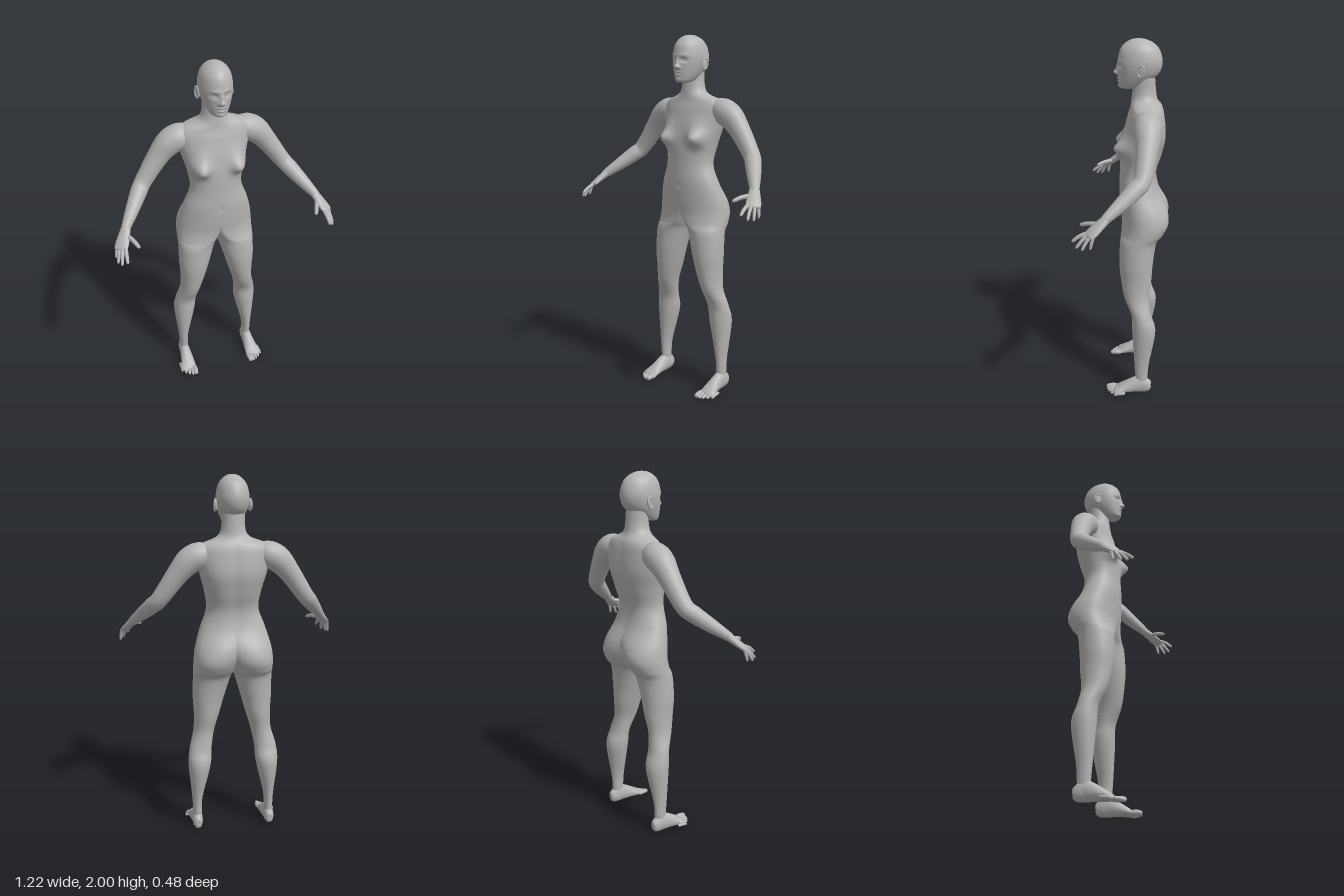
import * as THREE from 'three';
import { mergeGeometries, mergeVertices } from 'three/addons/utils/BufferGeometryUtils.js';

const skin = new THREE.MeshStandardMaterial({ color: 0xb4b4b4 });
skin.name = 'plain grey';

// Catmull-Rom interpolation of rows of numbers, k steps between neighbours
function smoothRows(rows, k) {
  const out = [], last = rows.length - 1;
  const at = (i) => rows[Math.min(last, Math.max(0, i))];
  for (let s = 0; s <= last * k; s++) {
    const i = Math.min(last - 1, Math.floor(s / k)), t = s / k - i;
    const [a, b, c, d] = [at(i - 1), at(i), at(i + 1), at(i + 2)];
    out.push(b.map((p, j) => p + 0.5 * t * (c[j] - a[j] +
      t * (2 * a[j] - 5 * p + 4 * c[j] - d[j] + t * (3 * (p - c[j]) + d[j] - a[j])))));
  }
  return out;
}

// Skin closed rings of points; faces lying in the plane x = 0 can be left out
function skinRings(rings, dropMiddle = false) {
  const n = rings[0].length, pts = rings.flat(), index = [];
  const tri = (...f) => {
    if (!dropMiddle || f.some((v) => pts[v].x > 0)) index.push(...f);
  };
  for (let i = 0; i < rings.length - 1; i++) {
    for (let j = 0; j < n; j++) {
      const a = i * n + j, b = i * n + (j + 1) % n;
      tri(a, b, a + n);
      tri(b, b + n, a + n);
    }
  }
  const g = new THREE.BufferGeometry().setFromPoints(pts);
  g.setIndex(index);
  g.computeVertexNormals();
  return g;
}

function mirrored(geometry) {
  const g = geometry.clone().scale(-1, 1, 1), ix = g.index.array;
  for (let i = 0; i < ix.length; i += 3) [ix[i], ix[i + 1]] = [ix[i + 1], ix[i]];
  g.computeVertexNormals();
  return g;
}

// Limb along rows [x, y, z, radius across ref, radius along ref]
function limb(rows, ref, k = 7, n = 28) {
  const path = smoothRows(rows, k);
  const centre = path.map((r) => new THREE.Vector3(r[0], r[1], r[2]));
  const rings = path.map((r, i) => {
    const T = centre[Math.min(i + 1, path.length - 1)].clone().sub(centre[Math.max(i - 1, 0)]).normalize();
    const B = new THREE.Vector3(...ref);
    B.addScaledVector(T, -B.dot(T)).normalize();
    const A = B.clone().cross(T);
    return Array.from({ length: n }, (_, j) => {
      const t = j / n * Math.PI * 2;
      return centre[i].clone().addScaledVector(A, Math.cos(t) * Math.max(0, r[3]))
        .addScaledVector(B, Math.sin(t) * Math.max(0, r[4]));
    });
  });
  return skinRings(rings);
}

// Finger or toe with a rounded tip
function digit(base, tip, r, bend, ref) {
  const at = (t, s, b) => [...base.map((p, i) => p + (tip[i] - p) * t + (i === 1 ? bend * b : 0)), r * s, r * s];
  return limb([at(-0.2, 0.8, 0), at(0.1, 1.05, 0.4), at(0.5, 1, 1), at(0.85, 0.85, 0.3), at(0.96, 0.55, 0.1), at(1, 0, 0)], ref, 4, 14);
}

// Symmetric form from half sections, listed top to bottom:
// [y, outer x, inner x, front crest x, back crest x, front z, back z]
// A crest away from the middle makes a cleft; an inner x above 0 splits the legs.
// Bumps [x, y, width, height, depth] swell or hollow the front.
function symmetricForm(rows, k, n, bumps, maskFrom, maskTo) {
  const rings = smoothRows(rows, k).map(([y, xo, xi, xf, xb, zf, zb]) => {
    const zm = (zf + zb) / 2, q = Math.PI / 2, ring = [];
    const arc = (crest, zEnd, extent, t0, t1) => {
      for (let i = 0; i <= n; i++) {
        const t = t0 + (t1 - t0) * i / n;
        let x = crest + (extent - crest) * Math.sin(t);
        if (x < 1e-6) x = 0;
        const p = new THREE.Vector3(x, y, zm + (zEnd - zm) * Math.cos(t));
        const mask = THREE.MathUtils.smoothstep(p.z, maskFrom, maskTo);
        for (const [bx, by, sx, sy, depth] of bumps) {
          p.z += mask * depth * Math.exp(-(((x - bx) / sx) ** 2) - ((y - by) / sy) ** 2);
        }
        ring.push(p);
      }
    };
    const cf = Math.max(0, xf), cb = Math.max(0, xb);
    const limit = (c) => (xi > 0 ? q : Math.asin(Math.min(1, c / (c - xi + 1e-9))));
    arc(cf, zf, xo, 0, q);
    arc(cb, zb, xo, q, 0);
    arc(cb, zb, xi, 0, limit(cb));
    arc(cf, zf, xi, limit(cf), 0);
    return ring;
  });
  const half = skinRings(rings.reverse(), true);
  const g = mergeGeometries([half, mirrored(half)]);
  g.deleteAttribute('normal');
  const whole = mergeVertices(g, 1e-5);
  whole.computeVertexNormals();
  return whole;
}

export function createModel() {
  const model = new THREE.Group();
  model.name = 'standingFigure';
  const add = (name, geometry) => {
    const mesh = new THREE.Mesh(geometry, skin);
    mesh.name = name;
    model.add(mesh);
  };
  const pair = (name, geometry) => {
    add('left' + name, geometry);
    add('right' + name, mirrored(geometry));
  };

  // Trunk [y, half width, back groove, front z, back z]
  const trunk = [
    [1.82, 0.06, 0, -0.045, -0.15], [1.7, 0.074, 0, -0.03, -0.163],
    [1.65, 0.175, 0.03, -0.023, -0.19], [1.6, 0.198, 0.04, -0.008, -0.203],
    [1.5, 0.18, 0.045, 0.015, -0.212], [1.4, 0.154, 0.04, 0.03, -0.192],
    [1.3, 0.143, 0.035, 0.033, -0.165], [1.2, 0.178, 0.035, 0.036, -0.18],
  ].map(([y, w, groove, zf, zb]) => [y, w, -0.2, 0, groove, zf, zb]);
  const hips = [
    [1.1, 0.208, -0.09, 0, 0.075, 0.03, -0.228], [1.03, 0.218, -0.04, 0.02, 0.1, 0.022, -0.237],
    [0.97, 0.22, -0.013, 0.06, 0.11, 0.022, -0.21],
  ];
  // Legs [y, outer x, inner x, front z, back z]
  const legs = [
    [0.92, 0.22, 0.011, 0.027, -0.174], [0.8, 0.222, 0.047, 0.03, -0.156], [0.7, 0.217, 0.075, 0.02, -0.148],
    [0.6, 0.222, 0.105, 0, -0.136], [0.5, 0.248, 0.123, -0.04, -0.15], [0.4, 0.256, 0.132, -0.045, -0.176],
    [0.2, 0.238, 0.178, -0.058, -0.143], [0.1, 0.234, 0.184, -0.065, -0.135], [0.04, 0.232, 0.186, -0.065, -0.135],
  ].map(([y, xo, xi, zf, zb]) => [y, xo, xi, (xo + xi) / 2, (xo + xi) / 2, zf, zb]);
  add('torsoAndLegs', symmetricForm([...trunk, ...hips, ...legs], 9, 16, [
    [0.108, 1.443, 0.046, 0.042, 0.058], [0.1, 1.5, 0.05, 0.05, 0.014], // chest
    [0, 1.19, 0.012, 0.012, -0.006], // navel
  ], -0.1, -0.03));

  // Head [y, half width, front z, back z] with modelled face
  const head = [
    [2, 0, -0.065, -0.065], [1.995, 0.028, -0.03, -0.102], [1.975, 0.056, 0.006, -0.145],
    [1.94, 0.077, 0.032, -0.175], [1.88, 0.087, 0.043, -0.189], [1.82, 0.077, 0.042, -0.168],
    [1.765, 0.052, 0.037, -0.095], [1.748, 0.034, 0.028, -0.05], [1.742, 0, -0.005, -0.005],
  ].map(([y, w, zf, zb]) => [y, w, -0.2, 0, 0, zf, zb]);
  add('head', symmetricForm(head, 14, 28, [
    [0, 1.85, 0.01, 0.025, 0.009], [0, 1.829, 0.012, 0.012, 0.019], [0.013, 1.824, 0.007, 0.007, 0.008], // nose
    [0.034, 1.863, 0.018, 0.012, -0.011], [0.03, 1.888, 0.022, 0.009, 0.004], // eye sockets and brows
    [0, 1.799, 0.02, 0.005, 0.006], [0, 1.784, 0.017, 0.005, 0.006], // lips
    [0, 1.7915, 0.022, 0.003, -0.004], [0, 1.76, 0.018, 0.01, 0.006], // mouth line and chin
  ], -0.05, 0));

  // Eyes and ears
  pair('Eye', new THREE.SphereGeometry(0.012, 20, 14).scale(1.1, 0.75, 1).translate(0.034, 1.862, 0.0145));
  const place = (g) => g.rotateY(Math.PI / 2 - 0.35).rotateX(-0.15).translate(0.087, 1.846, -0.082);
  pair('Ear', place(new THREE.SphereGeometry(0.02, 20, 14).scale(0.9, 1.55, 0.45)));
  pair('EarRim', place(new THREE.TorusGeometry(0.017, 0.0045, 8, 28).scale(1, 1.65, 1).translate(0, 0, 0.006)));

  // Arms [x, y, z, radius]
  pair('Arm', limb([
    [0.1, 1.605, -0.115, 0.035], [0.17, 1.597, -0.118, 0.068], [0.235, 1.567, -0.12, 0.07],
    [0.3, 1.495, -0.118, 0.057], [0.39, 1.37, -0.1, 0.046], [0.43, 1.325, -0.06, 0.044],
    [0.48, 1.27, 0.005, 0.036], [0.525, 1.222, 0.065, 0.026], [0.54, 1.204, 0.085, 0.021],
  ].map((r) => [...r, r[3]]), [0, 0, 1]));

  // Hands, spread along the knuckle line
  const across = [-0.7, 0, 0.7];
  pair('Palm', limb([
    [0.53, 1.216, 0.072, 0.022, 0.026], [0.56, 1.172, 0.122, 0.017, 0.037],
    [0.574, 1.152, 0.145, 0.013, 0.038], [0.58, 1.143, 0.155, 0.008, 0.032], [0.582, 1.14, 0.158, 0, 0],
  ], across));
  pair('Thumb', digit([0.528, 1.188, 0.115], [0.487, 1.168, 0.203], 0.0115, 0.006, across));
  const tips = [[0.561, 1.108, 0.237], [0.588, 1.085, 0.215], [0.604, 1.08, 0.185], [0.606, 1.088, 0.143]];
  ['IndexFinger', 'MiddleFinger', 'RingFinger', 'LittleFinger'].forEach((name, i) => {
    pair(name, digit([0.555 + 0.013 * i, 1.15, 0.168 - 0.0137 * i], tips[i], 0.0098 - 0.0005 * i, 0.006, across));
  });

  // Feet, with toes shortening outwards
  pair('Foot', limb([
    [0.21, 0.04, -0.156, 0, 0], [0.21, 0.041, -0.148, 0.03, 0.02], [0.21, 0.05, -0.12, 0.047, 0.029],
    [0.21, 0.057, -0.085, 0.053, 0.031], [0.212, 0.034, 0, 0.03, 0.041],
    [0.216, 0.024, 0.03, 0.02, 0.047], [0.217, 0.018, 0.052, 0.014, 0.042], [0.215, 0.016, 0.068, 0, 0],
  ], [1, 0, 0]));
  ['BigToe', 'SecondToe', 'ThirdToe', 'FourthToe', 'LittleToe'].forEach((name, i) => {
    const x = 0.183 + 0.0195 * i, z = 0.106 - 0.003 * i * i, r = i ? 0.0105 - 0.0005 * i : 0.0145;
    pair(name, digit([x - 0.002, 0.018, z - 0.055], [x, r, z], r, 0.003, [1, 0, 0]));
  });

  return model;
}
